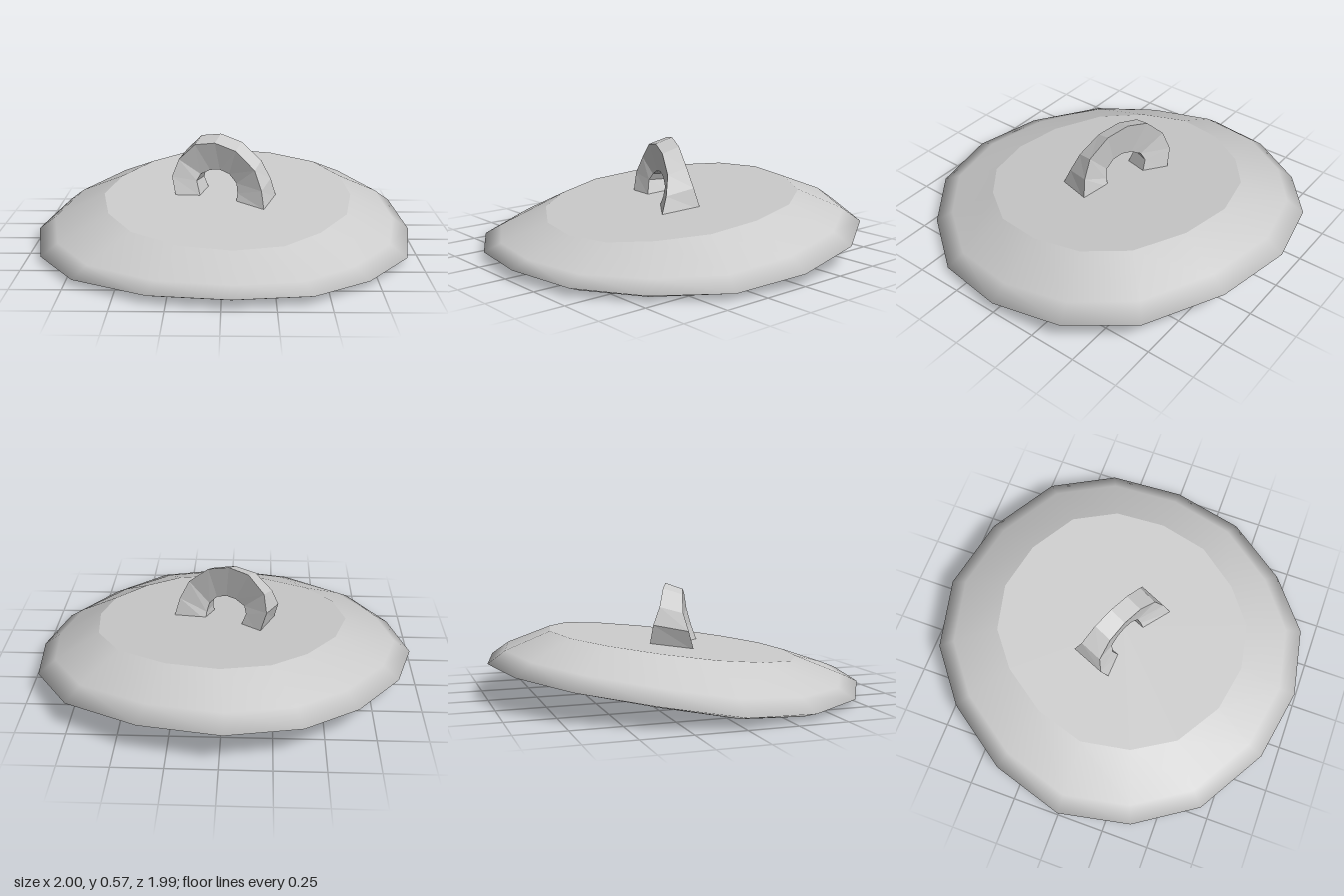
import * as THREE from 'three';

// Skin a stack of equal-length rings of [x, y, z]; optional fan caps at either end
function loft(rings, startCap, endCap) {
  const n = rings[0].length;
  const pos = rings.flat(2);
  const index = [];
  for (let j = 0; j < rings.length - 1; j++) {
    for (let i = 0; i < n; i++) {
      const k = (i + 1) % n;
      const a = j * n + i, b = j * n + k, c = b + n, d = a + n;
      index.push(a, d, c, a, c, b);
    }
  }
  const fan = (base, ring, flip) => {
    const centre = pos.length / 3;
    for (let q = 0; q < 3; q++) pos.push(ring.reduce((s, p) => s + p[q], 0) / n);
    for (let i = 0; i < n; i++) {
      const a = base + i, b = base + (i + 1) % n;
      if (flip) index.push(centre, b, a);
      else index.push(centre, a, b);
    }
  };
  if (startCap) fan(0, rings[0], false);
  if (endCap) fan((rings.length - 1) * n, rings[rings.length - 1], true);
  const geo = new THREE.BufferGeometry();
  geo.setAttribute('position', new THREE.Float32BufferAttribute(pos, 3));
  geo.setIndex(index);
  geo.computeVertexNormals();
  return geo;
}

function addMesh(group, name, geo, flatShading) {
  const mesh = new THREE.Mesh(geo, new THREE.MeshStandardMaterial({ color: 0xcccccc, flatShading }));
  mesh.name = name;
  group.add(mesh);
}

export function createModel() {
  const group = new THREE.Group();
  group.name = 'lid';

  // Uneven sixteen-sided rim: x, y, z
  const rim = [
    [-0.02, 0.19, -1], [0.38, 0.18, -0.92], [0.75, 0.15, -0.71], [0.95, 0.11, -0.39],
    [1, 0.06, 0], [0.93, 0.03, 0.38], [0.7, 0.03, 0.7], [0.42, 0.042, 0.92],
    [0.05, 0.052, 0.99], [-0.34, 0.042, 0.92], [-0.71, 0.03, 0.7], [-0.92, 0.028, 0.38],
    [-1, 0.055, 0], [-0.89, 0.11, -0.38], [-0.66, 0.15, -0.71], [-0.39, 0.18, -0.92],
  ];
  // Flat top tilts down toward the front
  const topRing = rim.map(([x, , z]) => [x * 0.66 + 0.02, 0.253 - 0.127 * z * 0.675, z * 0.675]);
  const shoulder = rim.map(([x, y, z], i) =>
    [x * 0.91, y + (topRing[i][1] - y) * 0.28 + 0.012 - 0.01 * z, z * 0.91]);
  const under = rim.map(([x, y, z]) => [x * 0.92, y - 0.022 - 0.012 * Math.max(z, 0), z * 0.92]);

  addMesh(group, 'lidBody', loft([under, rim, shoulder, topRing], true, false), false);
  addMesh(group, 'lidTop', loft([topRing], false, true), false);

  // Arched handle, running diagonally: outer x, outer y, outer half width, inner x, inner y
  const stations = [
    [-0.215, 0.245, 0.115, -0.10, 0.245],
    [-0.245, 0.36, 0.09, -0.125, 0.325],
    [-0.22, 0.45, 0.06, -0.11, 0.36],
    [-0.135, 0.537, 0.05, -0.06, 0.387],
    [-0.03, 0.555, 0.046, -0.01, 0.393],
    [0.08, 0.522, 0.046, 0.04, 0.375],
    [0.182, 0.43, 0.052, 0.08, 0.33],
    [0.225, 0.33, 0.075, 0.09, 0.28],
    [0.248, 0.23, 0.105, 0.09, 0.237],
  ];
  // Point offset across the handle; s is +1 on the front edge, -1 on the back
  const across = (x, y, w, s, drop) => [x - 0.35 * w * s, y - drop * s, 0.42 * x + 0.94 * w * s];
  const sections = stations.map(([ox, oy, w, ix, iy]) => {
    const drop = oy > 0.25 ? 0.016 : 0.004;
    return [
      across(ox, oy, w, 1, drop), across(ox, oy, w, -1, drop),
      across(ix, iy, w * 0.6, -1, 0), across(ix, iy, w * 0.6, 1, 0),
    ];
  });
  addMesh(group, 'handle', loft(sections, true, true), true);

  return group;
}
